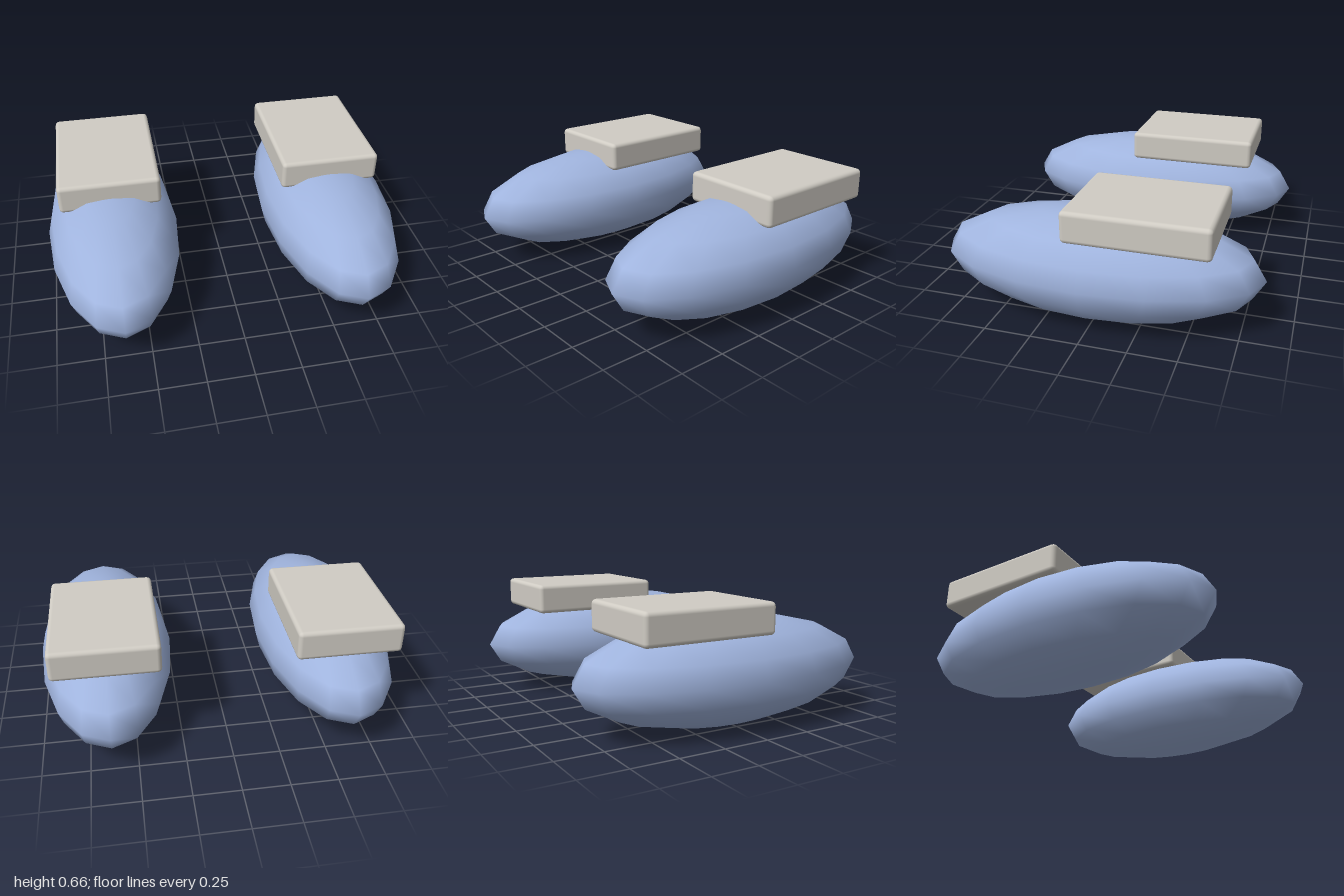
import * as THREE from 'three';
import { RoundedBoxGeometry } from 'three/addons/geometries/RoundedBoxGeometry.js';

export function createModel() {
  const model = new THREE.Group();
  model.name = 'podPair';

  const blue = new THREE.MeshStandardMaterial({ color: 0xa0b4de });
  blue.name = 'soft blue';
  const stone = new THREE.MeshStandardMaterial({ color: 0xd0ccc4 });
  stone.name = 'warm grey';

  // Stretched low-segment sphere with smooth normals, baked to its final size
  const podGeometry = new THREE.SphereGeometry(1, 16, 8).scale(0.37, 0.283, 0.855);
  // Slab with small rounded edges
  const slabGeometry = new RoundedBoxGeometry(0.565, 0.167, 0.737, 2, 0.024);

  for (const [side, sign] of [['left', 1], ['right', -1]]) {
    const unit = new THREE.Group();
    unit.name = side + 'Unit';
    unit.position.x = sign * 0.63;

    const pod = new THREE.Mesh(podGeometry, blue);
    pod.name = side + 'Pod';
    pod.position.y = 0.283;

    // Slab sits towards the back, sunk into the top of the pod
    const slab = new THREE.Mesh(slabGeometry, stone);
    slab.name = side + 'Slab';
    slab.position.set(0, 0.573, -0.257);

    unit.add(pod, slab);
    model.add(unit);
  }
  return model;
}
